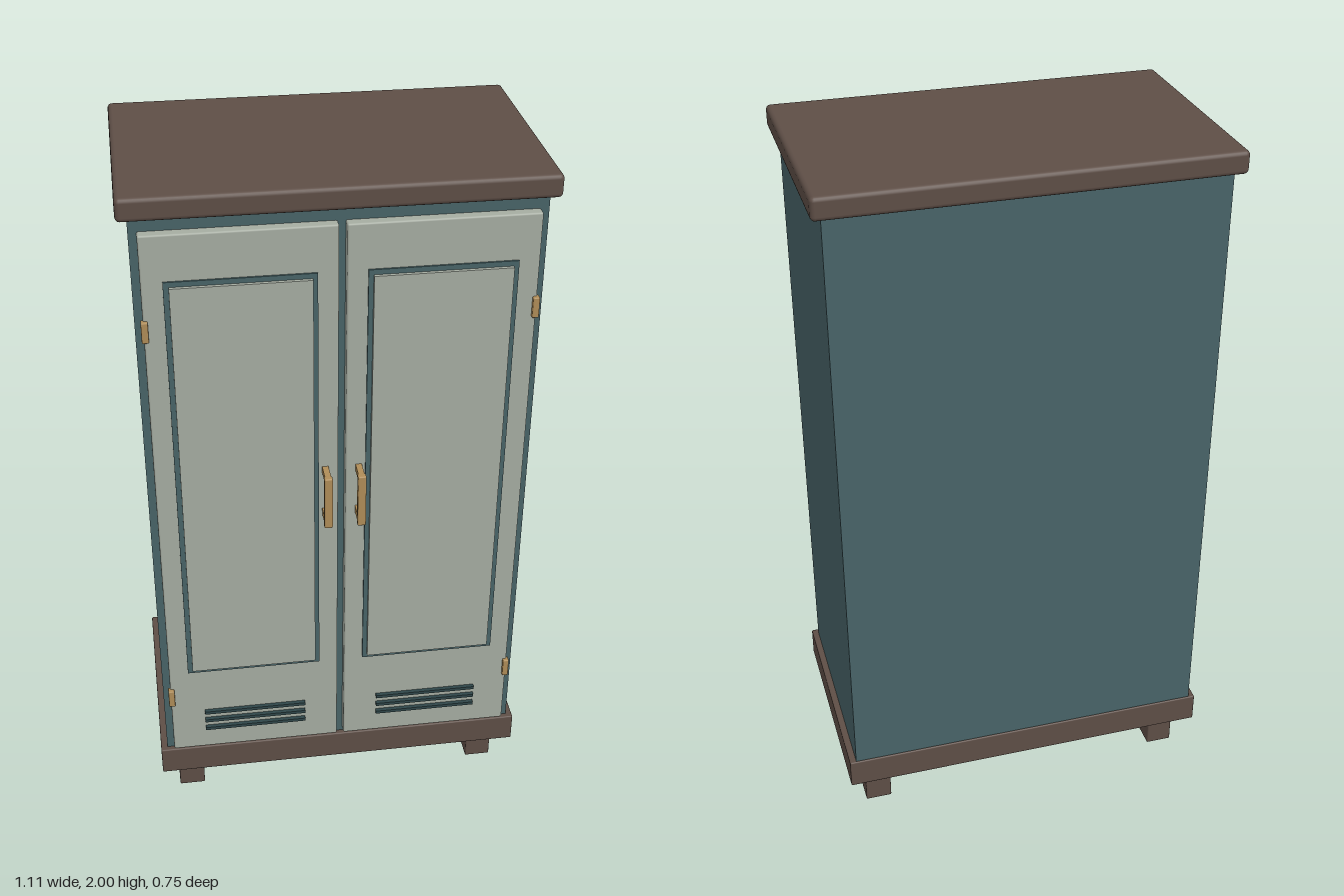
import * as THREE from 'three';
import { RoundedBoxGeometry } from 'three/addons/geometries/RoundedBoxGeometry.js';

const material = (name, color) => {
  const m = new THREE.MeshStandardMaterial({ color });
  m.name = name;
  return m;
};

export function createModel() {
  const wood = material('dark brown wood', 0x5e4e46);
  const teal = material('teal paint', 0x486468);
  const sage = material('sage paint', 0xa6ada2);
  const slotDark = material('dark teal', 0x2f4649);
  const brass = material('brass', 0xb08d58);

  const model = new THREE.Group();
  model.name = 'wardrobe';

  // Box given by its minimum and maximum corners, with optional rounded edges
  const box = (parent, name, mat, [x0, y0, z0], [x1, y1, z1], radius = 0) => {
    const size = [x1 - x0, y1 - y0, z1 - z0];
    const geometry = radius
      ? new RoundedBoxGeometry(...size, 2, radius)
      : new THREE.BoxGeometry(...size);
    const mesh = new THREE.Mesh(geometry, mat);
    mesh.name = name;
    mesh.position.set((x0 + x1) / 2, (y0 + y1) / 2, (z0 + z1) / 2);
    parent.add(mesh);
  };

  // Carcass
  box(model, 'body', teal, [-0.527, 0.2, -0.35], [0.527, 1.945, 0.28]);
  box(model, 'top', wood, [-0.555, 1.938, -0.378], [0.555, 2, 0.302], 0.012);
  box(model, 'plinth', wood, [-0.546, 0.117, -0.355], [0.546, 0.206, 0.296], 0.004);

  for (const s of [-1, 1]) {
    const side = s > 0 ? 'left' : 'right';
    // Mirrored box: x range is measured outwards from the centre
    const mirrored = (parent, name, mat, [x0, y0, z0], [x1, y1, z1], r) =>
      box(parent, name, mat, [s > 0 ? x0 : -x1, y0, z0], [s > 0 ? x1 : -x0, y1, z1], r);

    // Feet
    mirrored(model, `${side}FrontLeg`, wood, [0.418, 0, 0.16], [0.495, 0.12, 0.236], 0.004);
    mirrored(model, `${side}BackLeg`, wood, [0.418, 0, -0.306], [0.495, 0.12, -0.23], 0.004);

    // Door with trim and raised panel
    const door = new THREE.Group();
    door.name = `${side}Door`;
    model.add(door);
    mirrored(door, 'doorSlab', sage, [0.01, 0.22, 0.275], [0.506, 1.905, 0.308], 0.005);
    mirrored(door, 'panelTrim', teal, [0.064, 0.518, 0.305], [0.451, 1.78, 0.313]);
    mirrored(door, 'raisedPanel', sage, [0.077, 0.532, 0.31], [0.437, 1.766, 0.323]);

    // Vent slots
    for (const y of [0.3, 0.331, 0.362]) {
      mirrored(door, 'ventSlot', slotDark, [0.108, y - 0.005, 0.305], [0.408, y + 0.005, 0.32]);
    }

    // Hinges
    for (const y of [0.428, 1.645]) {
      mirrored(door, 'hinge', brass, [0.494, y - 0.029, 0.298], [0.512, y + 0.029, 0.319], 0.003);
    }

    // Handle: grip on two posts
    const handle = new THREE.Group();
    handle.name = 'handle';
    door.add(handle);
    mirrored(handle, 'grip', brass, [0.034, 1.042, 0.358], [0.057, 1.202, 0.377], 0.004);
    for (const y of [1.054, 1.19]) {
      mirrored(handle, 'handlePost', brass, [0.037, y - 0.01, 0.305], [0.054, y + 0.01, 0.365]);
    }
  }
  return model;
}
